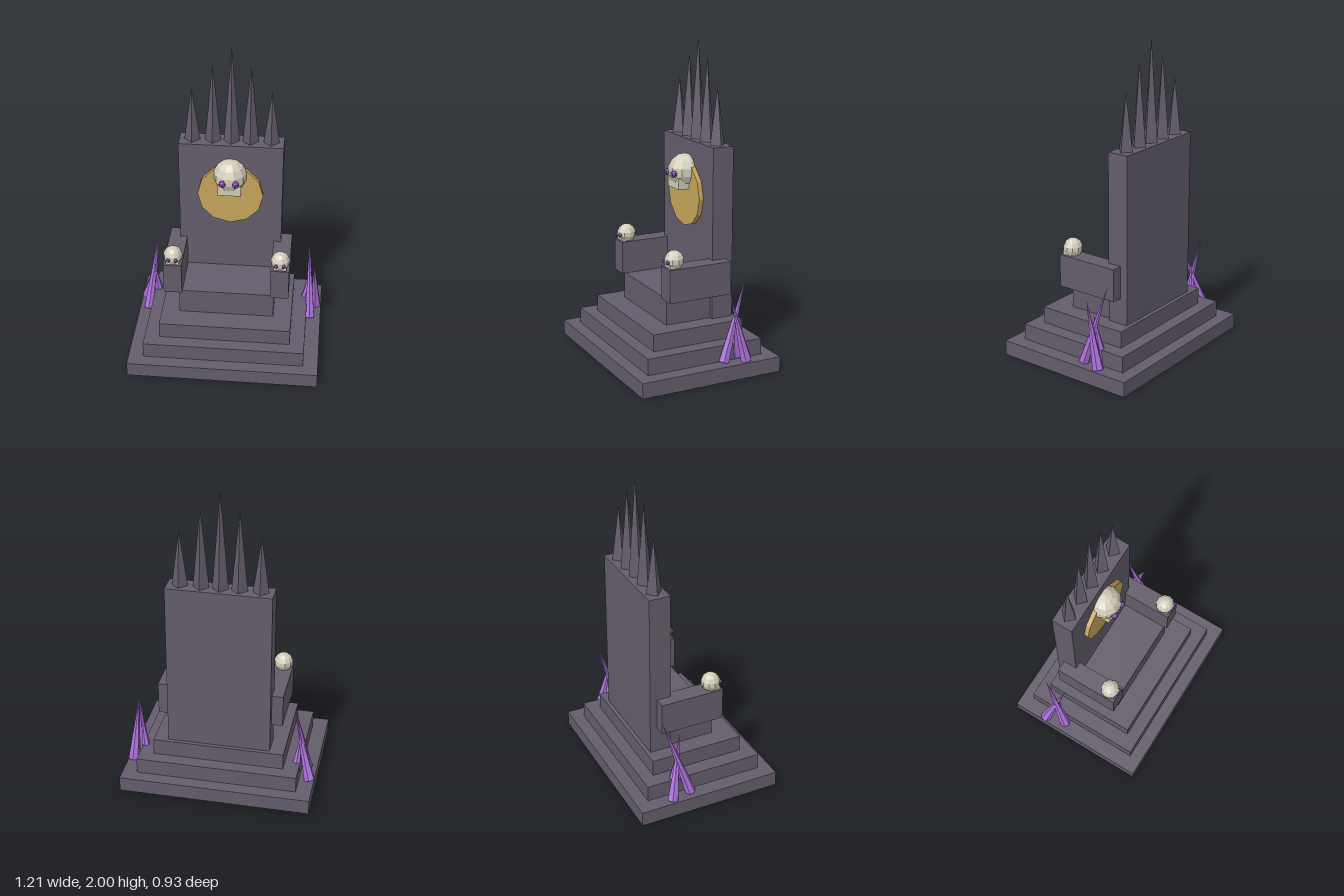
import * as THREE from 'three';

const flat = (name, color) => {
  const m = new THREE.MeshStandardMaterial({ color });
  m.name = name;
  m.flatShading = true;
  return m;
};

export function createModel() {
  const stone = flat('dark stone', 0x645d6b);
  const gold = flat('gold', 0xc6a65a);
  const bone = flat('bone', 0xd2cdb9);
  const crystal = flat('violet crystal', 0xab70da);
  const eyeMat = flat('eye purple', 0x7a3fa8);

  const throne = new THREE.Group();
  throne.name = 'throne';

  const add = (parent, name, geometry, material, x = 0, y = 0, z = 0) => {
    const mesh = new THREE.Mesh(geometry, material);
    mesh.name = name;
    mesh.position.set(x, y, z);
    parent.add(mesh);
    return mesh;
  };

  // Box given by its extents on each axis
  const block = (name, [x0, x1], [y0, y1], [z0, z1], material = stone, parent = throne) =>
    add(parent, name, new THREE.BoxGeometry(x1 - x0, y1 - y0, z1 - z0), material,
      (x0 + x1) / 2, (y0 + y1) / 2, (z0 + z1) / 2);

  // Stepped plinth
  block('baseStep', [-0.6, 0.603], [0, 0.095], [-0.463, 0.463]);
  block('middleStep', [-0.505, 0.51], [0.095, 0.197], [-0.383, 0.383]);
  block('topStep', [-0.41, 0.418], [0.197, 0.302], [-0.302, 0.302]);

  // Seat, backrest and arms
  block('seat', [-0.295, 0.303], [0.302, 0.468], [-0.15, 0.16]);
  block('backrest', [-0.32, 0.327], [0.302, 1.367], [-0.277, -0.14]);
  block('rightArm', [-0.39, -0.275], [0.468, 0.675], [-0.23, 0.182]);
  block('leftArm', [0.28, 0.396], [0.468, 0.675], [-0.23, 0.182]);

  // Spikes along the top of the backrest
  [[-0.24, 1.72], [-0.112, 1.885], [0.003, 2], [0.12, 1.88], [0.248, 1.72]].forEach(([x, top]) => {
    const h = top - 1.36;
    add(throne, 'spike', new THREE.ConeGeometry(0.05, h, 4), stone, x, 1.36 + h / 2, -0.209);
  });

  // Gold disc on the backrest
  const disc = add(throne, 'goldDisc', new THREE.CylinderGeometry(0.205, 0.205, 0.04, 12), gold,
    0.003, 1.03, -0.132);
  disc.rotation.x = Math.PI / 2;

  // Skull: faceted cranium, jaw block and two eyes
  const skull = (name, x, y, z, scale) => {
    const g = new THREE.Group();
    g.name = name;
    add(g, 'cranium', new THREE.SphereGeometry(0.106, 10, 7), bone);
    block('jaw', [-0.072, 0.072], [-0.105, -0.035], [-0.03, 0.078], bone, g);
    for (const side of [-1, 1]) {
      add(g, 'eye', new THREE.SphereGeometry(0.022, 8, 6), eyeMat, side * 0.041, -0.01, 0.096);
    }
    g.position.set(x, y, z);
    g.scale.setScalar(scale);
    throne.add(g);
  };
  skull('backrestSkull', 0.003, 1.174, -0.118, 1);
  skull('rightArmSkull', -0.333, 0.718, 0.125, 0.57);
  skull('leftArmSkull', 0.338, 0.718, 0.125, 0.57);

  // Crystal shard: a cone leaning from its base to its tip
  const up = new THREE.Vector3(0, 1, 0);
  const shard = (parent, base, tip, radius) => {
    const a = new THREE.Vector3(...base);
    const b = new THREE.Vector3(...tip);
    const dir = b.clone().sub(a);
    const mesh = add(parent, 'shard', new THREE.ConeGeometry(radius, dir.length(), 6), crystal);
    mesh.position.copy(a).add(b).multiplyScalar(0.5);
    mesh.quaternion.setFromUnitVectors(up, dir.normalize());
  };
  const clusters = {
    rightCrystals: [
      [[-0.54, 0.1, -0.11], [-0.478, 0.618, -0.272], 0.034],
      [[-0.572, 0.1, -0.245], [-0.457, 0.51, -0.145], 0.036],
      [[-0.475, 0.11, -0.21], [-0.505, 0.42, -0.18], 0.036],
    ],
    leftCrystals: [
      [[0.533, 0.1, -0.11], [0.508, 0.618, -0.272], 0.034],
      [[0.568, 0.1, -0.245], [0.547, 0.51, -0.145], 0.036],
      [[0.485, 0.11, -0.215], [0.525, 0.42, -0.18], 0.036],
    ],
  };
  for (const [name, shards] of Object.entries(clusters)) {
    const g = new THREE.Group();
    g.name = name;
    shards.forEach((s) => shard(g, ...s));
    throne.add(g);
  }

  return throne;
}
